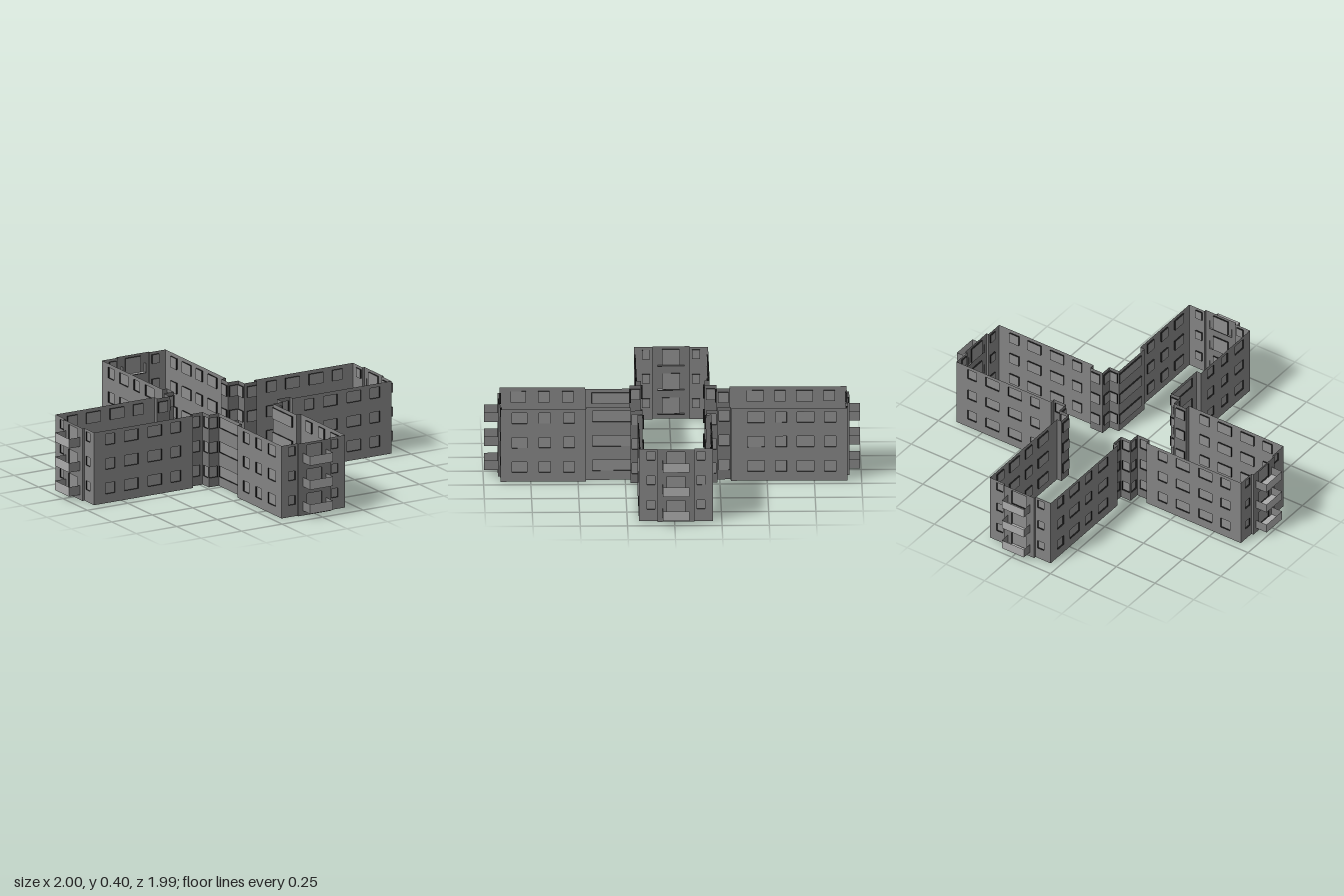
import * as THREE from 'three';

const H = 0.4, DEPTH = 0.008;
const paint = color => new THREE.MeshStandardMaterial({ color, side: THREE.DoubleSide, flatShading: true });
const wallGrey = paint(0x838383), cornerGrey = paint(0x747474), stripGrey = paint(0x7a7a7a);
const paneGrey = paint(0x8e8e8e), balconyGrey = paint(0xabababa >> 4), dark = paint(0x1c1c1c);

function add(parent, geometry, material, name) {
  const mesh = new THREE.Mesh(geometry, material);
  mesh.name = name;
  parent.add(mesh);
  return mesh;
}

// Recessed window: pale pane at the back, dark reveals around it
function addWindow(parent, x, y, w, h) {
  const reveals = new THREE.BoxGeometry(w, h, DEPTH);
  reveals.setIndex(Array.from(reveals.index.array.slice(0, 24)));
  add(parent, reveals, dark, 'windowReveal').position.set(x, y + h / 2, -DEPTH / 2);
  add(parent, new THREE.PlaneGeometry(w, h), paneGrey, 'windowPane').position.set(x, y + h / 2, -DEPTH);
}

// Thin wall from a to b (x, z), facing right of its direction, with window columns [distance, width]
function wall(parent, a, b, name, material, columns = [], sills = [0.05, 0.185, 0.32], h = 0.06) {
  const dx = b[0] - a[0], dz = b[1] - a[1], len = Math.hypot(dx, dz);
  const group = new THREE.Group();
  group.name = name;
  group.position.set(a[0], 0, a[1]);
  group.rotation.y = Math.atan2(-dz, dx);
  parent.add(group);
  const shape = new THREE.Shape([[0, 0], [len, 0], [len, H], [0, H]].map(p => new THREE.Vector2(...p)));
  for (const [c, w] of columns) for (const y of sills) {
    const l = c - w / 2, r = c + w / 2;
    shape.holes.push(new THREE.Path([[l, y], [l, y + h], [r, y + h], [r, y]].map(p => new THREE.Vector2(...p))));
    addWindow(group, c, y, w, h);
  }
  add(group, new THREE.ShapeGeometry(shape), material, 'wallFace');
}

// One quarter of the outline: side of a front/back arm, stepped inner corner, side of a left/right arm
function quarter(parent, sx, sz) {
  const front = sz > 0, step = front ? 0.466 : 0.3;
  const pts = [[0.196, 0.918], [0.196, step], [0.168, step], [0.168, 0.23], [0.23, 0.23],
    [0.23, 0.168], [0.308, 0.168], [0.308, 0.196], [0.918, 0.196]];
  const armZ = front ? [[0.1, 0.08], [0.235, 0.06], [0.362, 0.06]]
    : [[0.092, 0.06], [0.222, 0.09], [0.352, 0.06], [0.485, 0.09]];
  const cornerZ = front ? [[0.136, 0.2]] : [[0.035, 0.056]];
  const columns = [armZ, [], cornerZ, [[0.031, 0.05]], [[0.031, 0.05]], [[0.044, 0.056]], [],
    [[0.104, 0.06], [0.234, 0.087], [0.38, 0.087], [0.51, 0.06]]];
  columns.forEach((cols, i) => {
    const a = [pts[i][0] * sx, pts[i][1] * sz], b = [pts[i + 1][0] * sx, pts[i + 1][1] * sz];
    const len = Math.hypot(b[0] - a[0], b[1] - a[1]);
    const isArm = i === 0 || i === 7;
    const name = isArm ? 'armSideWall' : 'innerCornerWall';
    const material = isArm || (front && i === 2) ? wallGrey : cornerGrey;
    if (sx * sz > 0) wall(parent, a, b, name, material, cols);
    else wall(parent, b, a, name, material, cols.map(([c, w]) => [len - c, w]));
  });
}

// Open-topped balcony: pale floor and front, darker sides, dark underside
function balcony(parent, y, z0, z1) {
  const w = 0.142, h = 0.052, d = z1 - z0;
  const group = new THREE.Group();
  group.name = 'balcony';
  group.position.set(0, y, z0);
  const slab = (turn, lift) => new THREE.PlaneGeometry(w, d).rotateX(turn).translate(0, lift, d / 2);
  add(group, slab(-Math.PI / 2, 0.003), balconyGrey, 'balconyFloor');
  add(group, slab(Math.PI / 2, 0), dark, 'balconyUnderside');
  add(group, new THREE.PlaneGeometry(w, h).translate(0, h / 2, d), balconyGrey, 'balconyFront');
  for (const s of [-1, 1]) {
    const side = new THREE.PlaneGeometry(d, h).rotateY(s * Math.PI / 2).translate(s * w / 2, h / 2, d / 2);
    add(group, side, wallGrey, 'balconySide');
  }
  parent.add(group);
}

// End of an arm: flanks with narrow windows, projecting strip with doors and balconies
function armEnd(parent, angle, tip) {
  const end = new THREE.Group();
  end.name = 'armEnd';
  end.rotation.y = angle;
  const z = 0.918, zs = 0.93, s = 0.098, e = 0.196;
  const sills = [0.065, 0.2, 0.335];
  wall(end, [-e, z], [-s, z], 'endFlank', wallGrey, [[0.064, 0.042]], sills, 0.05);
  wall(end, [-s, z], [-s, zs], 'stripEdge', stripGrey);
  wall(end, [-s, zs], [s, zs], 'doorStrip', stripGrey, [[s, 0.095]], [0.03, 0.163, 0.298], 0.088);
  wall(end, [s, zs], [s, z], 'stripEdge', stripGrey);
  wall(end, [s, z], [e, z], 'endFlank', wallGrey, [[0.034, 0.042]], sills, 0.05);
  for (const y of [0.027, 0.16, 0.293]) balcony(end, y, tip - 0.077, tip);
  parent.add(end);
}

export function createModel() {
  const model = new THREE.Group();
  model.name = 'crossShapedBuilding';
  const storey = new THREE.Group();
  storey.name = 'storeyShell';
  storey.position.set(-0.003, 0, -0.008);
  for (const sx of [-1, 1]) for (const sz of [-1, 1]) quarter(storey, sx, sz);
  [1.002, 1.003, 0.986, 0.997].forEach((tip, i) => armEnd(storey, i * Math.PI / 2, tip));
  model.add(storey);
  return model;
}
